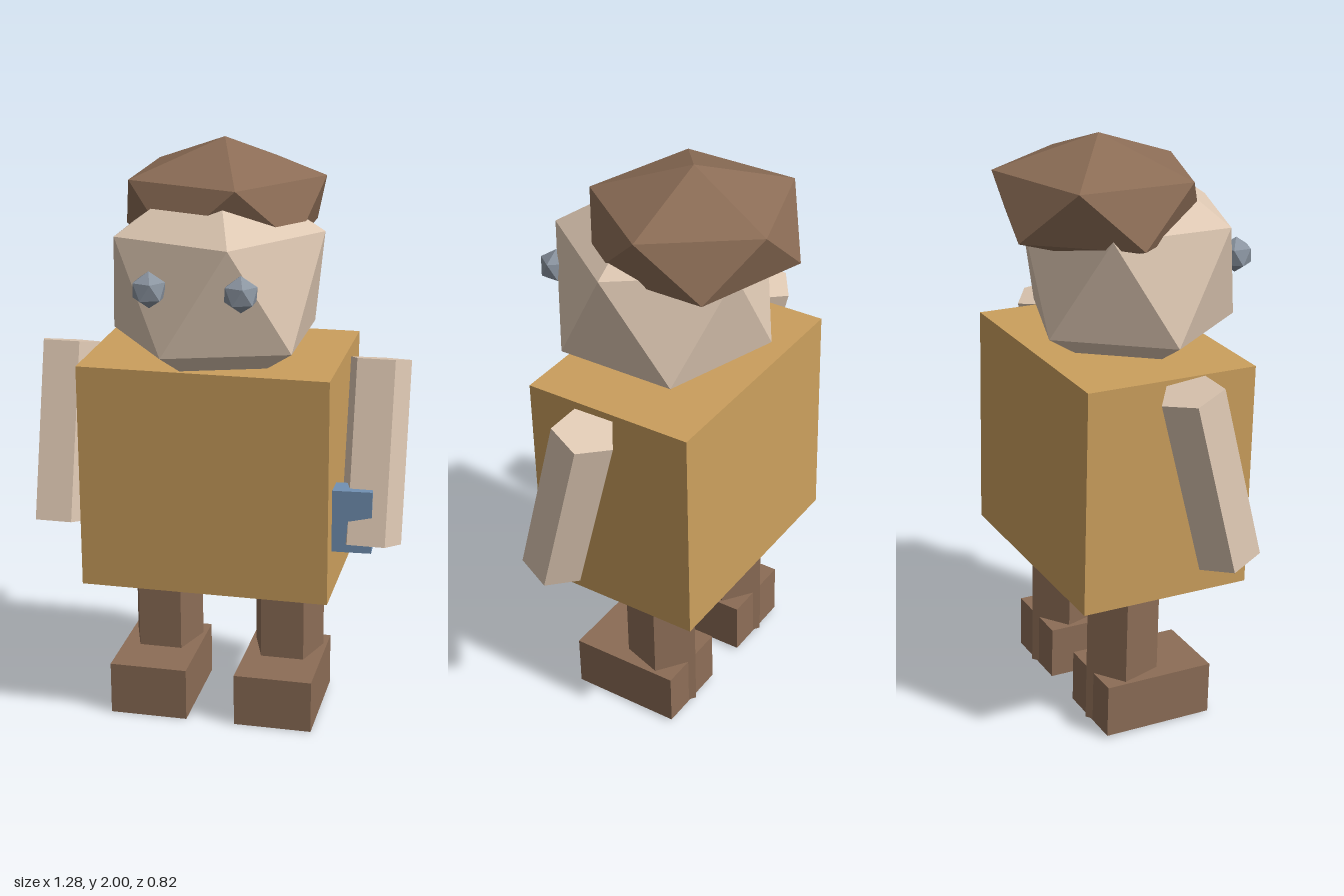
import * as THREE from 'three';

const mat = (name, color) => {
  const m = new THREE.MeshStandardMaterial({ color });
  m.name = name;
  return m;
};

// Five-sided prism with flat faces: one edge at the back, a flat face in front
function prism(radius, height) {
  const g = new THREE.CylinderGeometry(radius, radius, height, 5, 1, false, Math.PI).toNonIndexed();
  g.computeVertexNormals();
  return g;
}

// Icosahedron standing on one corner, optionally flattened in height
function gem(radius, squash = 1) {
  const g = new THREE.IcosahedronGeometry(radius, 0);
  g.rotateZ(-Math.atan(2 / (1 + Math.sqrt(5))));
  return g.scale(1, squash, 1);
}

export function createModel() {
  const shirt = mat('ochre', 0xcb9f5d);
  const skin = mat('skin', 0xdec8b3);
  const brown = mat('brown', 0x8c6d56);
  const grey = mat('grey', 0x8b95a1);
  const blue = mat('blue', 0x7191b3);

  const root = new THREE.Group();
  root.name = 'blockyFigure';

  // The whole figure leans and turns a little
  const figure = new THREE.Group();
  figure.name = 'figure';
  figure.rotation.set(0.025, 0.05, 0);
  root.add(figure);

  const add = (name, geometry, material, x, y, z, rx = 0, ry = 0) => {
    const mesh = new THREE.Mesh(geometry, material);
    mesh.name = name;
    mesh.position.set(x, y, z);
    mesh.rotation.set(rx, ry, 0);
    figure.add(mesh);
  };

  // Torso, head and hair
  add('torso', new THREE.BoxGeometry(0.84, 0.77, 0.6), shirt, 0, 0.91, -0.053);
  add('head', gem(0.4), skin, 0, 1.545, 0);
  add('hair', gem(0.38, 0.55), brown, 0, 1.788, -0.122);

  // Eyes, arms, legs and feet, in pairs
  for (const [side, s] of [['left', 1], ['right', -1]]) {
    add(side + 'Eye', gem(0.06), grey, 0.148 * s, 1.584, 0.316);
    add(side + 'Arm', prism(0.107, 0.615), skin, 0.536 * s, 0.995, 0.025, -0.262);
    add(side + 'Leg', prism(0.128, 0.6), brown, 0.22 * s, 0.31, -0.113);
    add(side + 'Foot', new THREE.BoxGeometry(0.27, 0.185, 0.39), brown, 0.22 * s, 0.097, -0.03);
  }

  // Small block held in the left hand
  add('heldBlock', new THREE.BoxGeometry(0.14, 0.215, 0.08), blue, 0.479, 0.793, 0.128, 0, 0.06);

  return root;
}
